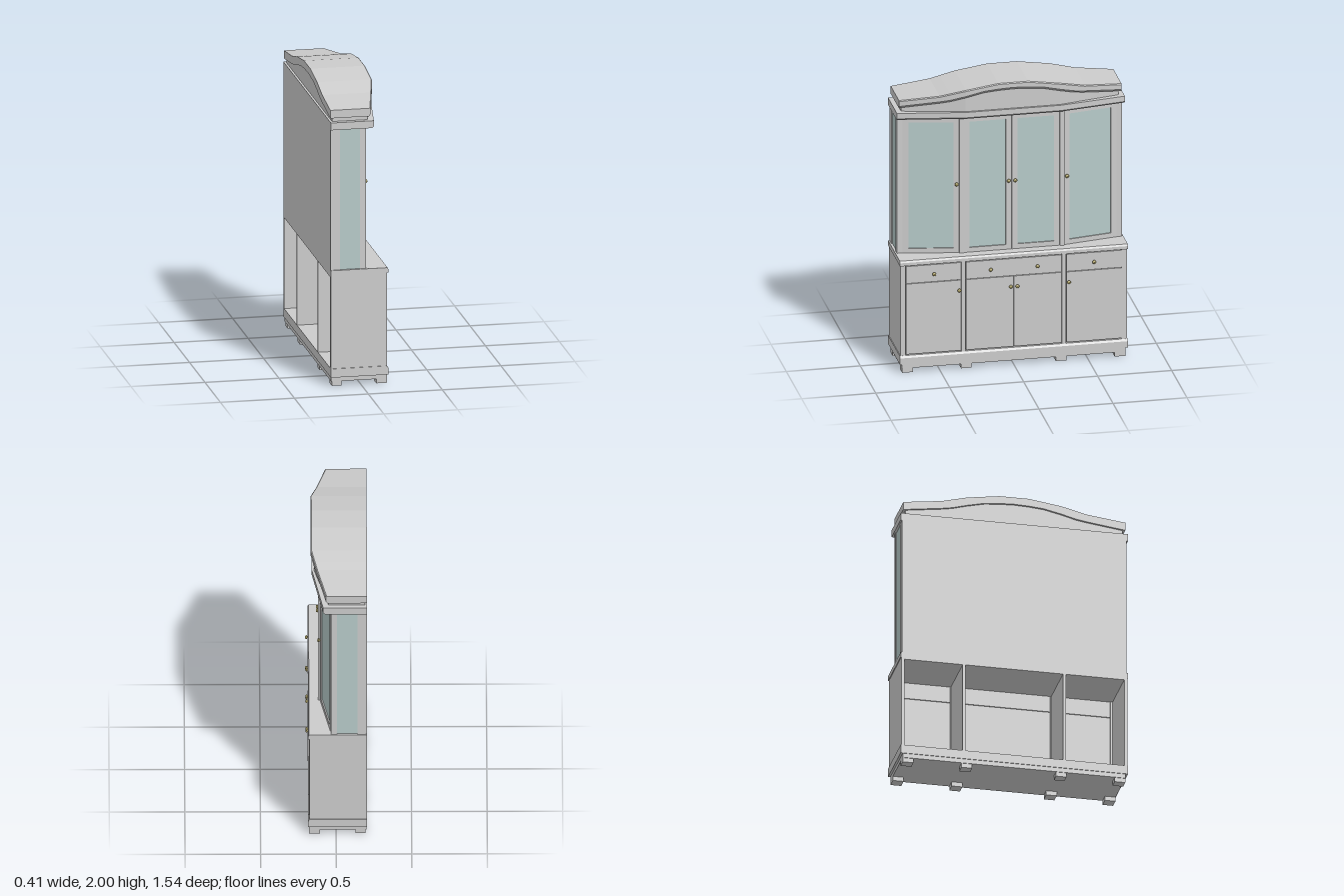
import * as THREE from 'three';

const wood = new THREE.MeshStandardMaterial({ color: 0xcccccc, flatShading: true });
const glass = new THREE.MeshStandardMaterial({ color: 0xb6cac9 });
const brass = new THREE.MeshStandardMaterial({ color: 0xb0a468 });

function add(parent, name, geometry, material = wood) {
  const mesh = new THREE.Mesh(geometry, material);
  mesh.name = name;
  parent.add(mesh);
  return mesh;
}

// Box given by its limits on each axis
function box(parent, name, [x0, x1], [y0, y1], [z0, z1], material) {
  const mesh = add(parent, name, new THREE.BoxGeometry(x1 - x0, y1 - y0, z1 - z0), material);
  mesh.position.set((x0 + x1) / 2, (y0 + y1) / 2, (z0 + z1) / 2);
  return mesh;
}

// Solid through cross-sections along x; ring(x) gives [z, y] corners
function loft(parent, name, xs, ring) {
  const rings = xs.map((x) => ring(x).map(([z, y]) => [x, y, z]));
  const n = rings[0].length;
  const last = rings.length - 1;
  const pos = [];
  const tri = (a, b, c) => pos.push(...a, ...b, ...c);
  for (let i = 0; i < last; i++) {
    for (let k = 0; k < n; k++) {
      const m = (k + 1) % n;
      tri(rings[i][k], rings[i + 1][m], rings[i][m]);
      tri(rings[i][k], rings[i + 1][k], rings[i + 1][m]);
    }
  }
  for (let k = 1; k < n - 1; k++) {
    tri(rings[0][0], rings[0][k], rings[0][k + 1]);
    tri(rings[last][0], rings[last][k + 1], rings[last][k]);
  }
  const geometry = new THREE.BufferGeometry();
  geometry.setAttribute('position', new THREE.Float32BufferAttribute(pos, 3));
  geometry.computeVertexNormals();
  return add(parent, name, geometry);
}

// Straight-line interpolation through [x, value] pairs, mirrored about x = 0
function along(points, x) {
  const a = Math.abs(x);
  for (let i = 1; i < points.length; i++) {
    const [x0, v0] = points[i - 1];
    const [x1, v1] = points[i];
    if (a <= x1 + 1e-6) return v0 + ((v1 - v0) * (a - x0)) / (x1 - x0);
  }
  return points[points.length - 1][1];
}

function knob(parent, x, y, z) {
  const profile = [[0.005, 0], [0.005, 0.007], [0.012, 0.01], [0.013, 0.015], [0.009, 0.021], [0, 0.023]];
  const geometry = new THREE.LatheGeometry(profile.map(([r, h]) => new THREE.Vector2(r, h)), 12);
  const mesh = add(parent, 'knob', geometry, brass);
  mesh.rotation.x = Math.PI / 2;
  mesh.position.set(x, y, z);
}

// Framed glass door whose front runs from (x0, z0) to (x1, z1) in plan
function glassDoor(parent, x0, z0, x1, z1, y0, y1) {
  const w = Math.hypot(x1 - x0, z1 - z0);
  const h = y1 - y0;
  const side = 0.038;
  const rail = 0.038;
  const rect = (Type, a, b, c, d) => new Type([[a, b], [c, b], [c, d], [a, d]].map(([x, y]) => new THREE.Vector2(x, y)));
  const shape = rect(THREE.Shape, -w / 2, 0, w / 2, h);
  shape.holes.push(rect(THREE.Path, -w / 2 + side, rail, w / 2 - side, h - rail));
  const door = new THREE.Group();
  door.name = 'glassDoor';
  const frame = add(door, 'doorFrame', new THREE.ExtrudeGeometry(shape, { depth: 0.02, bevelEnabled: false }));
  frame.position.z = -0.02;
  box(door, 'doorPane', [-w / 2 + 0.02, w / 2 - 0.02], [0.02, h - 0.02], [-0.014, -0.008], glass);
  door.position.set((x0 + x1) / 2, y0, (z0 + z1) / 2);
  door.rotation.y = -Math.atan2(z1 - z0, x1 - x0);
  parent.add(door);
}

export function createModel() {
  const model = new THREE.Group();
  model.name = 'displayCabinet';
  // Built facing +z, then turned so the doors face +x
  const c = new THREE.Group();
  c.name = 'cabinet';
  c.rotation.y = Math.PI / 2;
  model.add(c);
  const back = -0.205;

  // Feet, bottom board and plinth
  for (const x of [-0.718, -0.32, 0.32, 0.718])
    for (const z of [[-0.195, -0.13], [0.105, 0.178]])
      box(c, 'foot', [x - 0.036, x + 0.036], [0, 0.06], z);
  box(c, 'bottomBoard', [-0.755, 0.755], [0.03, 0.06], [-0.2, 0.178]);
  loft(c, 'plinth', [-0.77, 0.77], () => [[back, 0.06], [0.185, 0.06], [0.185, 0.105], [0.176, 0.12], [back, 0.12]]);

  // Open-backed lower carcass
  for (const s of [-1, 1]) {
    const span = (a, b) => (s > 0 ? [a, b] : [-b, -a]);
    box(c, 'baseSide', span(0.745, 0.765), [0.11, 0.76], [back, 0.175]);
    box(c, 'baseDivider', span(0.33, 0.35), [0.12, 0.76], [back, 0.165]);
    box(c, 'outerStile', span(0.73, 0.765), [0.115, 0.76], [0.155, 0.175]);
    box(c, 'innerStile', span(0.325, 0.354), [0.115, 0.76], [0.155, 0.177]);
    // Drawers and cupboard doors
    box(c, 'sideDrawer', span(0.357, 0.727), [0.633, 0.754], [0.158, 0.18]);
    box(c, 'sideDoor', span(0.357, 0.727), [0.129, 0.629], [0.158, 0.18]);
    box(c, 'middleDoor', span(0.001, 0.322), [0.129, 0.629], [0.158, 0.18]);
    knob(c, s * 0.54, 0.69, 0.179);
    knob(c, s * 0.158, 0.69, 0.179);
    knob(c, s * 0.37, 0.56, 0.179);
    knob(c, s * 0.022, 0.56, 0.179);
  }
  box(c, 'middleDrawer', [-0.322, 0.322], [0.633, 0.754], [0.158, 0.18]);
  box(c, 'baseTopPanel', [-0.745, 0.745], [0.745, 0.76], [back, 0.157]);
  loft(c, 'counter', [-0.77, 0.77], () => [[back, 0.76], [0.185, 0.76], [0.185, 0.782], [0.178, 0.795], [back, 0.795]]);

  // Upper case: back, glazed ends, posts and doors
  const y0 = 0.79;
  const y1 = 1.765;
  box(c, 'backPanel', [-0.755, 0.755], [y0, y1], [back, -0.19]);
  for (const s of [-1, 1]) {
    const span = (a, b) => (s > 0 ? [a, b] : [-b, -a]);
    box(c, 'rearPost', span(0.73, 0.76), [y0, y1], [back, -0.143]);
    box(c, 'endPane', span(0.74, 0.753), [y0, y1], [-0.145, 0], glass);
    box(c, 'cornerPost', span(0.722, 0.76), [y0, y1], [-0.005, 0.035]);
    box(c, 'pilaster', span(0.325, 0.355), [y0, y1], [0.08, 0.117]);
    if (s > 0) glassDoor(c, 0.354, 0.106, 0.722, 0.038, y0, y1 - 0.005);
    else glassDoor(c, -0.722, 0.038, -0.354, 0.106, y0, y1 - 0.005);
    glassDoor(c, s > 0 ? 0.001 : -0.324, 0.11, s > 0 ? 0.324 : -0.001, 0.11, y0, y1 - 0.005);
    knob(c, s * 0.373, 1.285, 0.101);
    knob(c, s * 0.022, 1.285, 0.109);
  }

  // Cornice following the canted front
  const corniceFront = [[0, 0.16], [0.32, 0.16], [0.77, 0.085]];
  loft(c, 'cornice', [-0.77, -0.32, 0.32, 0.77], (x) => {
    const f = along(corniceFront, x);
    return [[back, 1.76], [f - 0.012, 1.76], [f, 1.772], [f, 1.81], [back, 1.81]];
  });

  // Arched crown moulding over a recessed frieze
  const crownFront = [[0, 0.167], [0.32, 0.167], [0.752, 0.068]];
  const top = [[0, 2], [0.1, 2], [0.325, 1.967], [0.49, 1.925], [0.752, 1.892]];
  const under = [[0, 1.951], [0.1, 1.947], [0.2, 1.938], [0.325, 1.91], [0.42, 1.884], [0.49, 1.872], [0.752, 1.837]];
  const half = [0.1, 0.2, 0.32, 0.42, 0.49];
  const stations = (end) => [-end, ...half.map((x) => -x).reverse(), 0, ...half, end];
  loft(c, 'frieze', stations(0.735), (x) => {
    const f = along(crownFront, x) - 0.022;
    const y = along(under, x) + 0.005;
    return [[-0.19, 1.805], [f, 1.805], [f, y], [-0.19, y]];
  });
  loft(c, 'crown', stations(0.752), (x) => {
    const f = along(crownFront, x);
    const b = along(under, x);
    const t = along(top, x);
    return [[back, b], [f - 0.012, b], [f, b + 0.015], [f, t - 0.006], [f - 0.006, t], [back, t]];
  });

  return model;
}
